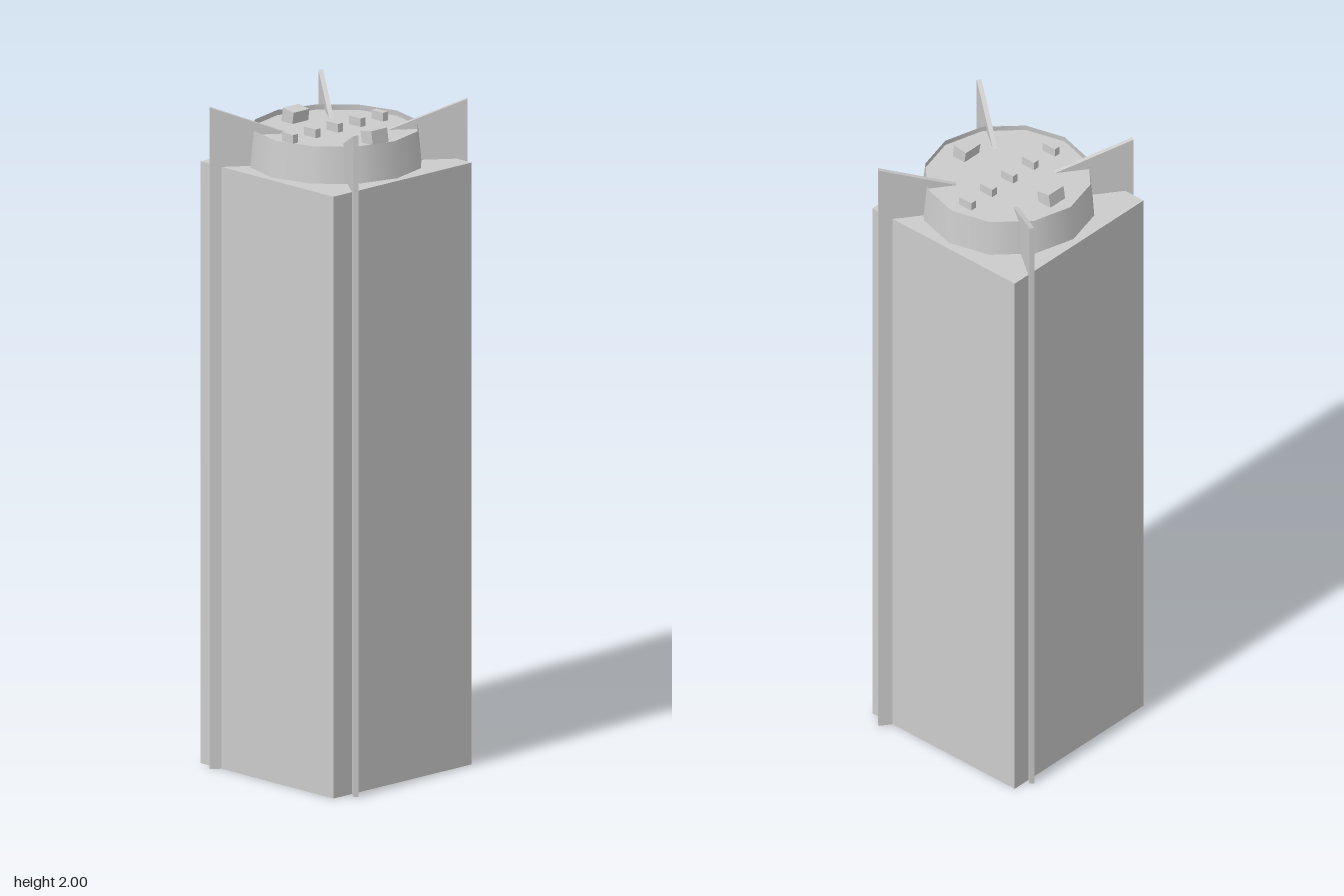
import * as THREE from 'three';

const CX = -0.003, CZ = -0.007; // axis of the body

export function createModel() {
  const group = new THREE.Group();
  const grey = new THREE.MeshStandardMaterial({ color: 0xcccccc, side: THREE.DoubleSide });

  const add = (name, geometry, x = 0, y = 0, z = 0) => {
    const mesh = new THREE.Mesh(geometry, grey);
    mesh.name = name;
    mesh.position.set(x, y, z);
    group.add(mesh);
    return mesh;
  };

  // Square tower body, open underneath (the bottom face is left out)
  const body = new THREE.BoxGeometry(0.561, 1.82, 0.561);
  const index = Array.from(body.index.array);
  index.splice(18, 6);
  body.setIndex(index);
  body.clearGroups();
  add('towerBody', body, CX, 0.91, CZ);

  // Twelve-sided drum with a slight taper and a sunken floor
  add('drumWall', new THREE.CylinderGeometry(0.247, 0.258, 0.11, 12, 1, true), CX, 1.875, CZ);
  const floor = new THREE.CircleGeometry(0.2475, 12);
  floor.rotateX(-Math.PI / 2);
  add('drumFloor', floor, CX, 1.914, CZ);

  // Two crossed plates whose ends form the four fins; the top dips to the middle
  const profile = new THREE.Shape([
    new THREE.Vector2(-0.38, 0),
    new THREE.Vector2(0.38, 0),
    new THREE.Vector2(0.38, 2),
    new THREE.Vector2(0, 1.86),
    new THREE.Vector2(-0.38, 2),
  ]);
  const plate = new THREE.ExtrudeGeometry(profile, { depth: 0.014, bevelEnabled: false });
  plate.translate(0, 0, -0.007);
  for (let i = 0; i < 2; i++) {
    add('crossedFins', plate).rotation.y = -0.63 + i * Math.PI / 2;
  }

  // Row of five small blocks across the floor
  for (let i = -2; i <= 2; i++) {
    add('smallBlock', new THREE.BoxGeometry(0.02, 0.026, 0.048), CX + i * 0.091, 1.927, -0.012);
  }

  // Two larger blocks, front and back, tipped toward the middle
  for (const side of [-1, 1]) {
    const block = add('largeBlock', new THREE.BoxGeometry(0.064, 0.045, 0.046), -0.009, 1.93, -0.005 + side * 0.167);
    block.rotation.x = -side * 0.15;
  }

  return group;
}
